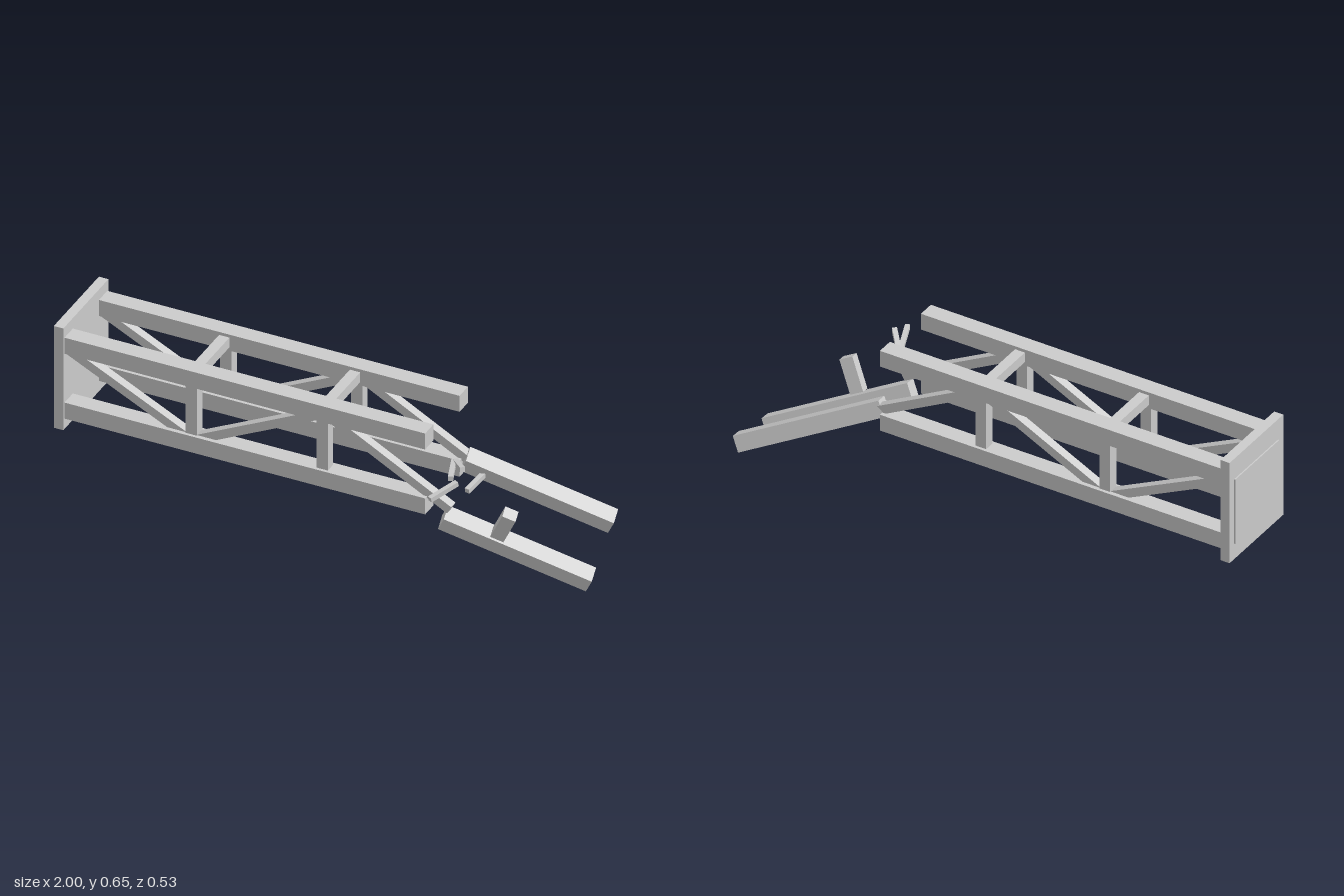
import * as THREE from 'three';

const material = new THREE.MeshStandardMaterial({ color: 0xcccccc, flatShading: true });
const V = (x, y, z) => new THREE.Vector3(x, y, z);

export function createModel() {
  const model = new THREE.Group();

  // Axis-aligned block given by its minimum and maximum corners
  function block(name, x0, x1, y0, y1, z0, z1) {
    const mesh = new THREE.Mesh(new THREE.BoxGeometry(x1 - x0, y1 - y0, z1 - z0), material);
    mesh.position.set((x0 + x1) / 2, (y0 + y1) / 2, (z0 + z1) / 2);
    mesh.name = name;
    model.add(mesh);
  }

  // Rectangular bar running from a to b, with its height turned towards "up"
  function bar(name, a, b, height, width, up = V(0, 1, 0)) {
    const along = b.clone().sub(a);
    const mesh = new THREE.Mesh(new THREE.BoxGeometry(along.length(), height, width), material);
    along.normalize();
    const side = along.clone().cross(up).normalize();
    const top = side.clone().cross(along);
    mesh.quaternion.setFromRotationMatrix(new THREE.Matrix4().makeBasis(along, top, side));
    mesh.position.copy(a).add(b).multiplyScalar(0.5);
    mesh.name = name;
    model.add(mesh);
  }

  // End plate with a thin outer panel
  block('endPlate', -0.995, -0.958, 0.235, 0.655, -0.11, 0.245);
  block('endPanel', -1, -0.97, 0.3, 0.57, -0.08, 0.21);

  // Two identical truss sides
  for (const [side, z] of [['front', 0.203], ['rear', -0.068]]) {
    block(side + 'UpperChord', -0.96, 0.44, 0.546, 0.612, z - 0.033, z + 0.033);
    block(side + 'LowerChord', -0.96, 0.44, 0.278, 0.344, z - 0.033, z + 0.033);
    for (const x of [-0.472, 0.035])
      block(side + 'Post', x - 0.022, x + 0.022, 0.33, 0.56, z - 0.021, z + 0.021);
    bar(side + 'Diagonal', V(-0.97, 0.56, z), V(-0.49, 0.325, z), 0.034, 0.034);
    bar(side + 'Diagonal', V(-0.455, 0.325, z), V(0.02, 0.56, z), 0.034, 0.034);
    bar(side + 'Diagonal', V(0.05, 0.565, z), V(0.525, 0.31, z), 0.034, 0.034);
  }

  // Top cross members joining the two sides
  for (const x of [-0.472, 0.035])
    block('crossMember', x - 0.02, x + 0.02, 0.56, 0.6, -0.04, 0.175);

  // Broken chord ends, tilted and twisted the same way
  const up = V(0.455, 0.89, 0.18).normalize();
  const fall = V(0.487, -0.22, -0.175);
  for (const [name, start] of [
    ['frontBrokenChord', V(0.492, 0.261, 0.2)],
    ['rearBrokenChord', V(0.453, 0.346, -0.053)],
  ]) bar(name, start, start.clone().add(fall), 0.062, 0.066, up);

  // Stub of a post still standing on the front broken chord
  const stub = V(0.71, 0.27, 0.16);
  bar('brokenPost', stub.clone().addScaledVector(up, -0.065),
    stub.clone().addScaledVector(up, 0.065), 0.05, 0.047, fall);

  // Loose splinters
  const splinters = [
    [V(0.55, 0.47, 0.26), V(0.5, 0.455, 0.13)],
    [V(0.57, 0.482, 0.205), V(0.505, 0.456, 0.13)],
    [V(0.465, 0.355, 0.25), V(0.52, 0.38, 0.148)],
    [V(0.51, 0.287, 0.048), V(0.525, 0.302, -0.05)],
  ];
  for (const [a, b] of splinters) bar('splinter', a, b, 0.018, 0.018);

  return model;
}
